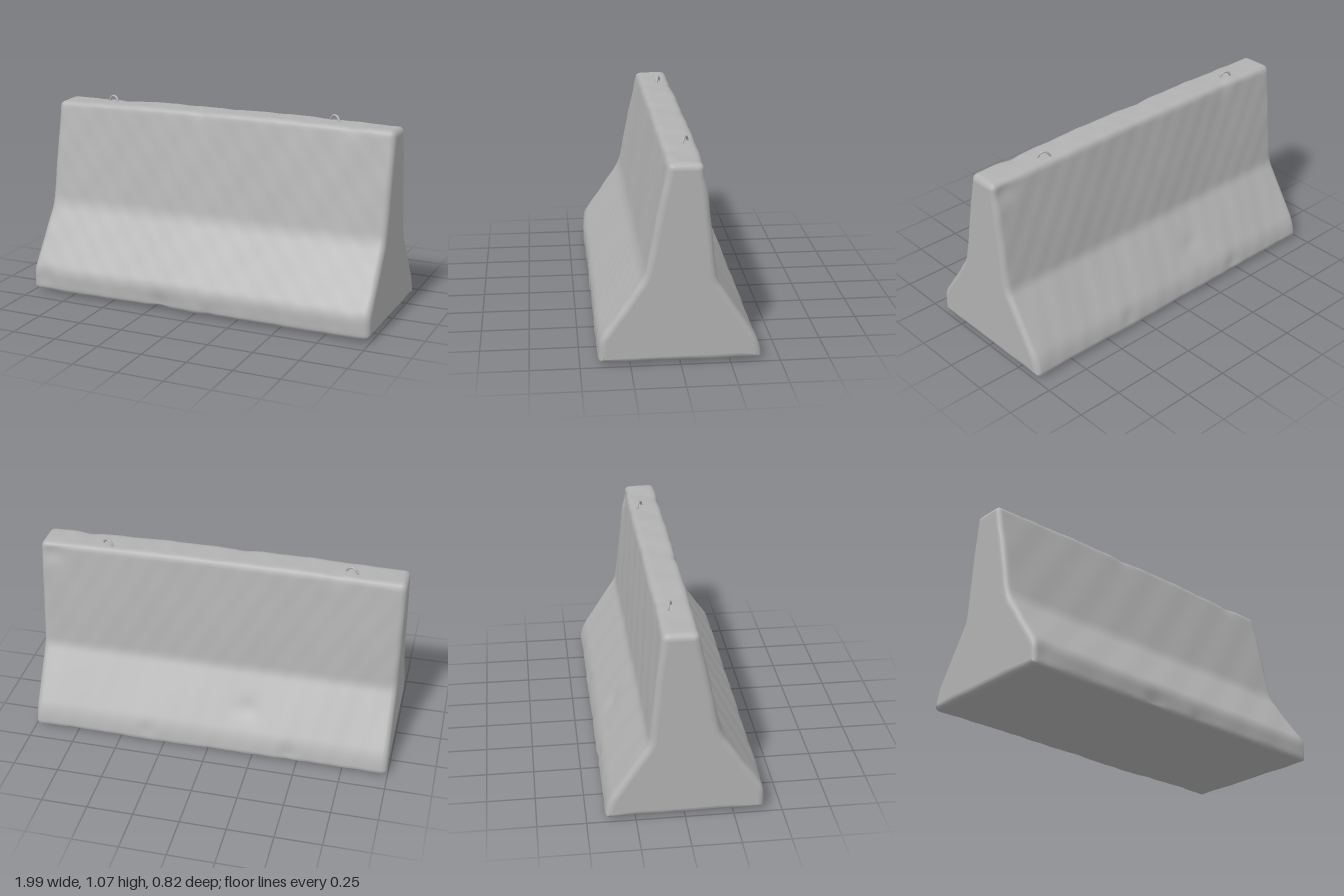
import * as THREE from 'three';

const concrete = new THREE.MeshStandardMaterial({ color: 0xb2b2b2 });
concrete.name = 'concrete grey';

// Cross-section corners: z, y, rounding radius
const CORNERS = [
  [0.41, 0.016, 0.018], [0.41, 0.135, 0.04], [0.18, 0.465, 0.05], [0.062, 1.036, 0.025],
  [-0.112, 1.036, 0.03], [-0.158, 0.66, 0.1], [-0.181, 0.435, 0.03],
  [-0.388, 0.11, 0.05], [-0.407, 0.016, 0.02],
];

// Worn spots: x, y, z, radius, depth
const DENTS = [
  [-0.2, 0.04, 0.41, 0.09, 0.016], [0.1, 0.03, 0.41, 0.06, 0.007], [-0.93, 0.1, 0.41, 0.08, 0.01],
  [-0.45, 0.06, -0.4, 0.07, 0.01], [-0.2, 0.25, -0.3, 0.08, 0.009], [0.35, 0.08, -0.4, 0.06, 0.007],
  [0.93, 0.98, -0.12, 0.08, 0.016], [-0.62, 1.03, -0.11, 0.07, 0.008], [0.75, 1.03, 0.06, 0.06, 0.007],
  [-0.1, 1.03, 0.06, 0.05, 0.006], [0.98, 0.1, 0.36, 0.06, 0.01],
];

function profile() {
  const v = CORNERS.map(([z, y]) => new THREE.Vector2(z, y));
  const path = new THREE.Path();
  const n = v.length;
  v.forEach((p, i) => {
    const r = CORNERS[i][2];
    const a = p.clone().add(v[(i + n - 1) % n].clone().sub(p).setLength(r));
    const b = p.clone().add(v[(i + 1) % n].clone().sub(p).setLength(r));
    if (i === 0) path.moveTo(a.x, a.y); else path.lineTo(a.x, a.y);
    path.quadraticCurveTo(p.x, p.y, b.x, b.y);
  });
  path.closePath();
  return path.getSpacedPoints(200).slice(0, 200);
}

// Gentle cast-surface unevenness
const wobble = (x, y, z) =>
  0.0016 * Math.sin(9 * x + 5 * y + 4 * z) + 0.0012 * Math.sin(23 * x - 13 * y + 17 * z)
  + 0.0008 * Math.sin(47 * x + 31 * y - 29 * z);

function barrierGeometry() {
  const pts = profile();
  const n = pts.length;
  const normals = pts.map((_, j) => {
    const t = pts[(j + 1) % n].clone().sub(pts[(j + n - 1) % n]).normalize();
    return new THREE.Vector2(t.y, -t.x);
  });

  // Stations along the length, with quarter-round ends
  const R = 0.032, END = 0.996, stations = [];
  for (let k = 0; k <= 5; k++) {
    const a = (k / 5) * Math.PI / 2;
    stations.push([-END + R * (1 - Math.sin(a)), R * (1 - Math.cos(a))]);
  }
  stations.reverse();
  const ends = stations.map(([x, d]) => [x, R - d]);
  stations.length = 0;
  for (let k = 0; k <= 5; k++) {
    const a = (k / 5) * Math.PI / 2;
    stations.push([-END + R * (1 - Math.cos(a)), R * (1 - Math.sin(a))]);
  }
  const half = stations.slice();
  for (let k = 1; k < 70; k++) stations.push([(-1 + (2 * k) / 70) * (END - R), 0]);
  half.reverse().forEach(([x, d]) => stations.push([-x, d]));

  const pos = [], index = [];
  stations.forEach(([x, inset]) => {
    pts.forEach((p, j) => {
      let d = wobble(x, p.y, p.x) - inset;
      for (const [dx, dy, dz, r, depth] of DENTS) {
        const q = (x - dx) ** 2 + (p.y - dy) ** 2 + (p.x - dz) ** 2;
        d -= depth * Math.exp(-q / (r * r * 0.5));
      }
      let y = p.y + normals[j].y * d;
      const z = p.x + normals[j].x * d;
      // crowned top and slightly sagging underside
      if (p.y > 0.5) y += 0.011 * (1 - x * x) * (p.y - 0.5) / 0.54;
      const low = Math.max(0, 1 - p.y / 0.15);
      y -= 0.012 * low * Math.exp(-(((x - 0.22) / 0.3) ** 2) - (((z + 0.15) / 0.3) ** 2));
      pos.push(x, Math.max(0, y), z);
    });
  });
  const rows = stations.length;
  for (let i = 0; i < rows - 1; i++) {
    for (let j = 0; j < n; j++) {
      const a = i * n + j, b = a + n, c = i * n + (j + 1) % n, d = c + n;
      index.push(a, b, d, a, d, c);
    }
  }

  // Flat end faces on their own copies of the end rings
  for (const row of [0, rows - 1]) {
    const base = pos.length / 3, ring = [];
    for (let j = 0; j < n; j++) {
      const o = (row * n + j) * 3;
      pos.push(pos[o], pos[o + 1], pos[o + 2]);
      ring.push(new THREE.Vector2(pos[o + 2], pos[o + 1]));
    }
    for (const [a, b, c] of THREE.ShapeUtils.triangulateShape(ring, [])) {
      const ccw = THREE.ShapeUtils.area([ring[a], ring[b], ring[c]]) > 0;
      const flip = ccw === (row !== 0);
      index.push(base + a, base + (flip ? c : b), base + (flip ? b : c));
    }
  }
  const g = new THREE.BufferGeometry();
  g.setAttribute('position', new THREE.Float32BufferAttribute(pos, 3));
  g.setIndex(index);
  g.computeVertexNormals();
  return g;
}

export function createModel() {
  const group = new THREE.Group();
  group.name = 'roadBarrier';

  const body = new THREE.Mesh(barrierGeometry(), concrete);
  body.name = 'barrierBody';
  group.add(body);

  // Bent-bar lifting loops on the top
  const arch = new THREE.CatmullRomCurve3([
    [-0.034, -0.03], [-0.031, 0.012], [-0.018, 0.031], [0, 0.037],
    [0.018, 0.031], [0.031, 0.012], [0.034, -0.03],
  ].map(([x, y]) => new THREE.Vector3(x, y, 0)));
  const loop = new THREE.TubeGeometry(arch, 28, 0.0065, 8);
  [['rightLiftingLoop', -0.7, -0.046, -0.32], ['leftLiftingLoop', 0.627, -0.057, -0.48]].forEach(([name, x, z, turn]) => {
    const m = new THREE.Mesh(loop, concrete);
    m.name = name;
    m.position.set(x, 1.033, z);
    m.rotation.y = turn;
    group.add(m);
  });
  return group;
}
